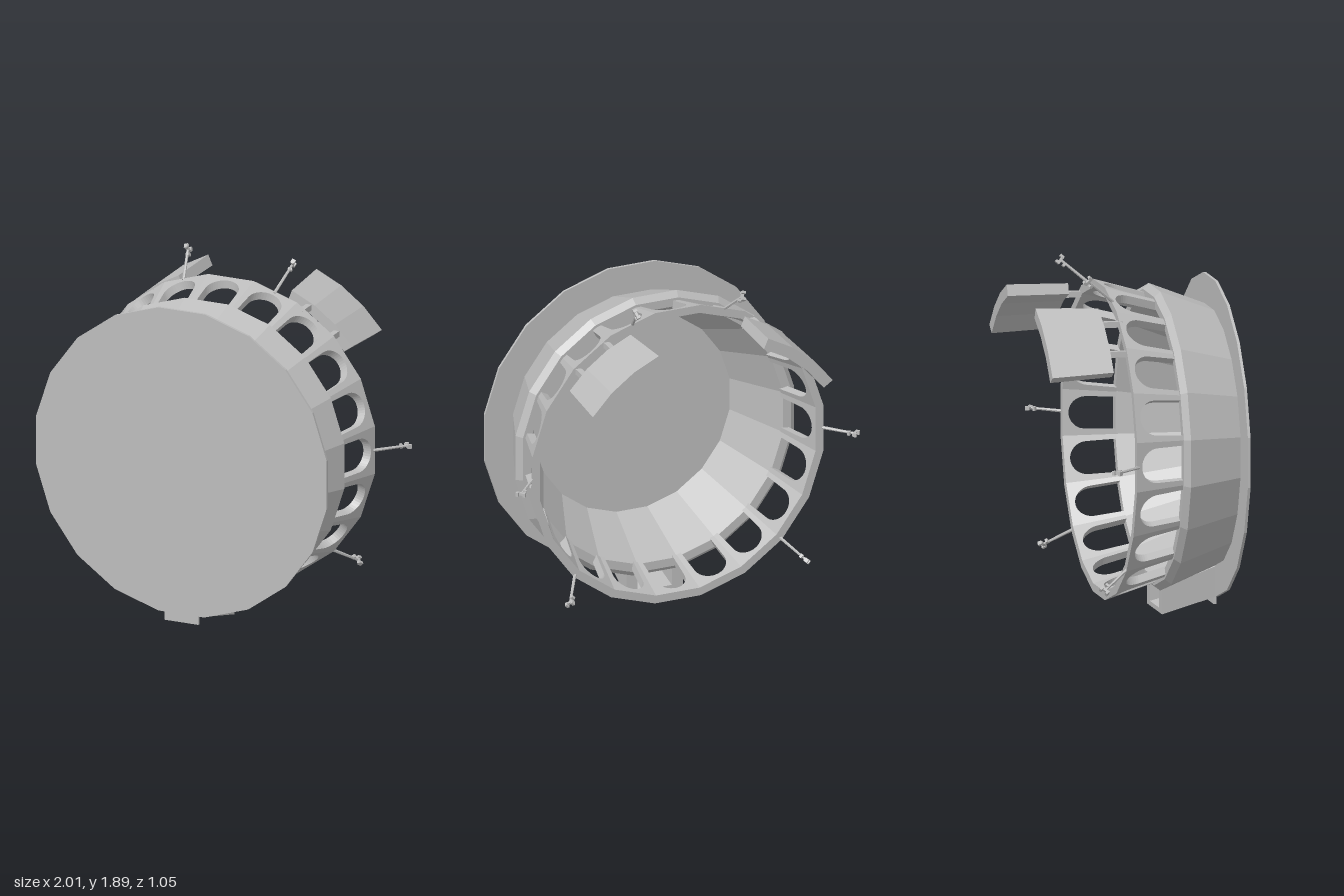
import * as THREE from 'three';

const SIDES = 20, STEP = Math.PI * 2 / SIDES, CY = 0.931, DEG = Math.PI / 180;
const grey = new THREE.MeshStandardMaterial({ color: 0xbcbcbc });
grey.name = 'concrete grey';

// faceted mesh
function part(geo, name, parent) {
  const g = geo.index ? geo.toNonIndexed() : geo;
  g.computeVertexNormals();
  const m = new THREE.Mesh(g, grey);
  m.name = name;
  parent.add(m);
  return m;
}

function box(w, h, d, x, y, z, name, parent) {
  const m = part(new THREE.BoxGeometry(w, h, d), name, parent);
  m.position.set(x, y, z);
  return m;
}

// move every vertex by a rule
function warp(geo, rule) {
  const p = geo.attributes.position, v = new THREE.Vector3();
  for (let i = 0; i < p.count; i++) {
    rule(v.fromBufferAttribute(p, i));
    p.setXYZ(i, v.x, v.y, v.z);
  }
  return geo;
}

function lathe(pts, name, parent) {
  const v = pts.map(p => new THREE.Vector2(p[0], p[1]));
  return part(new THREE.LatheGeometry(v, SIDES, STEP / 2), name, parent);
}

// six-faced block given by [x0, x1, y0, y1] at its front and back
function block(front, back, zf, zb, name, parent) {
  return part(warp(new THREE.BoxGeometry(1, 1, 1), v => {
    const s = v.z > 0 ? front : back;
    v.set(v.x < 0 ? s[0] : s[1], v.y < 0 ? s[2] : s[3], v.z > 0 ? zf : zb);
  }), name, parent);
}

// one arched wall panel, tilted outward
function archPanel() {
  const t = 0.045, y0 = -0.175, y1 = 0.1, sin = Math.sin(STEP / 2), cos = Math.cos(STEP / 2);
  const hb = 0.775 * sin, ht = 0.857 * sin, a = 0.094, spring = -0.02;
  const s = new THREE.Shape();
  s.moveTo(-hb, y0);
  s.lineTo(-a, y0);
  s.lineTo(-a, spring);
  s.absellipse(0, spring, a, 0.09, Math.PI, 0, true);
  s.lineTo(a, y0);
  s.lineTo(hb, y0);
  s.lineTo(ht, y1);
  s.lineTo(-ht, y1);
  const geo = new THREE.ExtrudeGeometry(s, { depth: t, bevelEnabled: false, curveSegments: 10 });
  return warp(geo, v => {
    const ap = THREE.MathUtils.lerp(0.775, 0.857, (v.y - y0) / (y1 - y0)) * cos;
    const r = ap - (t - v.z);
    v.set(v.x * r / ap, v.y, r);
  });
}

// curved roof over a part of the stands, with its struts
function roof(a0, a1, parent) {
  const g = new THREE.Group();
  g.name = 'roof';
  const at = (r, a) => new THREE.Vector2(r * Math.sin(a * DEG), r * Math.cos(a * DEG));
  const n = 3, pts = [];
  for (let i = 0; i <= n; i++) pts.push(at(0.858, a0 + (a1 - a0) * i / n));
  for (let i = n; i >= 0; i--) pts.push(at(0.795, a0 + (a1 - a0) * i / n));
  const mid = at(0.82, (a0 + a1) / 2);
  const geo = new THREE.ExtrudeGeometry(new THREE.Shape(pts), { depth: 0.34, bevelEnabled: false });
  warp(geo, v => {
    const k = 1 - 0.08 * v.z / 0.34;
    v.set(mid.x + (v.x - mid.x) * k, mid.y + (v.y - mid.y) * k, v.z - 0.53);
  });
  part(geo, 'roofPanel', g);
  for (const f of [0.3, 0.74]) {
    const p = at(0.825, a0 + (a1 - a0) * f);
    box(0.032, 0.032, 0.14, p.x, p.y, -0.15, 'roofStrut', g);
  }
  parent.add(g);
}

// leaning floodlight pole
function floodlight(angle, parent) {
  const g = new THREE.Group();
  g.name = 'floodlight';
  const r = 0.84;
  g.position.set(r * Math.sin(angle), 0.09, r * Math.cos(angle));
  g.rotation.set(42 * DEG, angle, 0, 'YXZ');
  const pole = part(new THREE.CylinderGeometry(0.007, 0.009, 0.2, 6), 'pole', g);
  pole.position.y = 0.1;
  box(0.014, 0.014, 0.05, 0, 0.195, 0, 'lampBar', g);
  for (const z of [-0.019, 0.019]) box(0.022, 0.022, 0.014, 0, 0.203, z, 'lamp', g);
  box(0.022, 0.014, 0.02, 0, 0.165, -0.01, 'lampBracket', g);
  parent.add(g);
}

export function createModel() {
  const model = new THREE.Group();
  model.name = 'arena';

  // bowl parts are built upright, then laid with the rim towards the back
  const bowl = new THREE.Group();
  bowl.name = 'bowl';
  bowl.rotation.x = -Math.PI / 2;
  bowl.position.y = CY;
  model.add(bowl);

  lathe([[0, -0.52], [0.865, -0.52], [0.865, -0.505], [0, -0.505]], 'baseDisc', bowl);
  lathe([[0.70, -0.506], [0.82, -0.205], [0.79, -0.172], [0.742, -0.172], [0.575, -0.506]], 'stands', bowl);

  const panel = archPanel();
  for (let i = 0; i < SIDES; i++) {
    part(panel.clone(), 'archPanel', bowl).rotation.y = i * STEP;
  }
  for (const a of [18, 90, 135, -135, -90, -19]) floodlight(a * DEG, bowl);

  // roofs
  const roofs = new THREE.Group();
  roofs.name = 'roofs';
  roofs.position.y = CY;
  model.add(roofs);
  roof(20.5, 53, roofs);
  roof(-56, -23, roofs);

  // entrance tunnel under the stands
  const gate = new THREE.Group();
  gate.name = 'entrance';
  model.add(gate);
  const zf = 0.506, zb = 0.205;
  block([-0.13, 0.13, 0.075, 0.1], [-0.165, 0.165, 0, 0.025], zf, zb, 'entranceFloor', gate);
  block([0.095, 0.13, 0.075, 0.24], [0.1, 0.165, 0, 0.14], zf, zb, 'entranceWall', gate);
  block([-0.13, -0.095, 0.075, 0.24], [-0.165, -0.1, 0, 0.14], zf, zb, 'entranceWall', gate);
  box(0.2, 0.06, 0.015, 0, 0.06, 0.5125, 'entranceStep', gate);

  // curling ornament beside the entrance
  const curl = [[0.36, 0.24], [0.37, 0.29], [0.33, 0.34], [0.26, 0.345], [0.31, 0.3],
    [0.33, 0.24], [0.31, 0.2], [0.25, 0.18], [0.27, 0.14], [0.31, 0.15]].map(([z, y]) => {
    const r = 0.70 + (0.506 - z) * 0.4 + 0.005, dy = CY - y;
    return new THREE.Vector3(Math.sqrt(Math.max(r * r - dy * dy, 0.03)), y, z);
  });
  part(new THREE.TubeGeometry(new THREE.CatmullRomCurve3(curl), 40, 0.012, 6), 'curlOrnament', model);

  return model;
}
